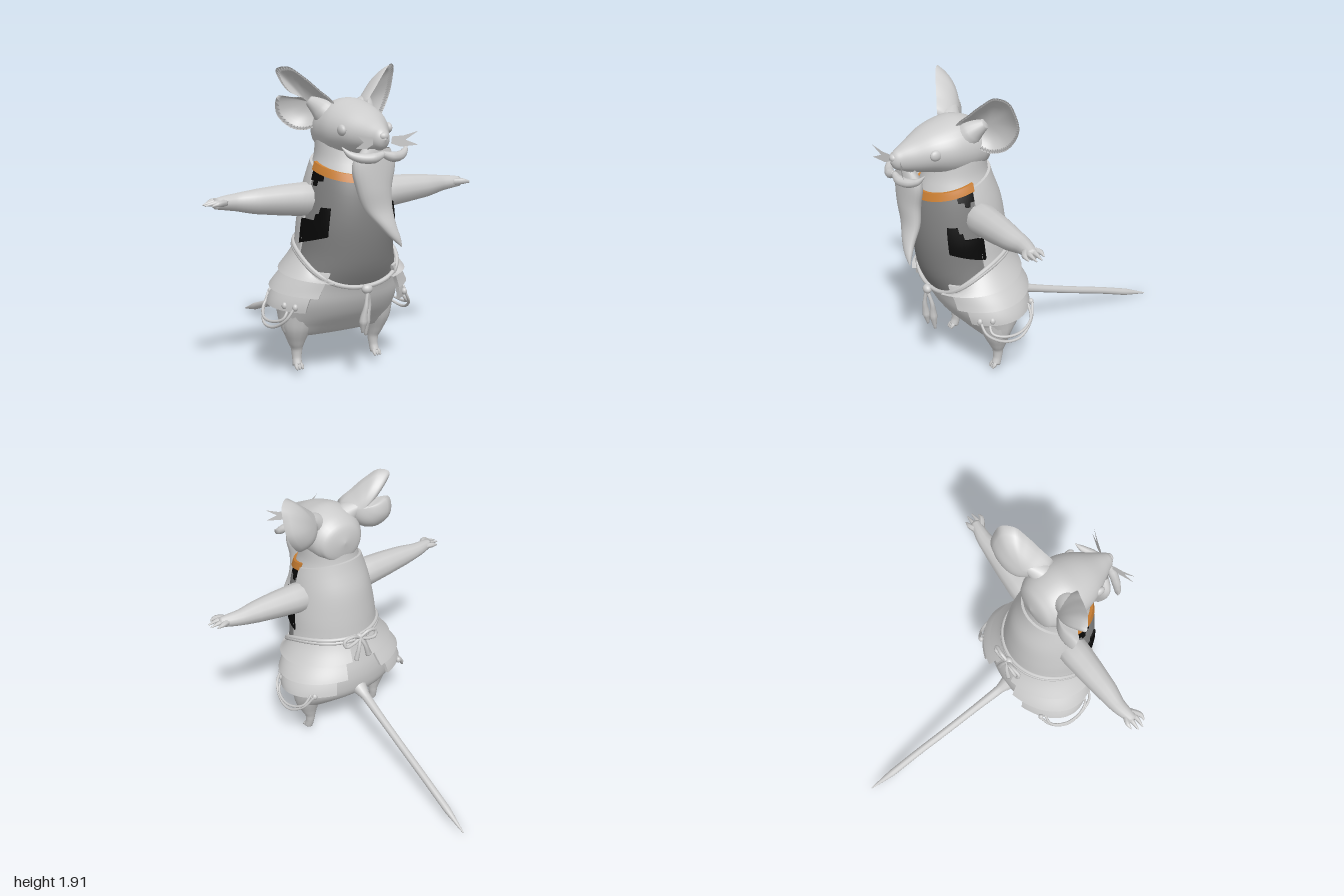
import * as THREE from 'three';
import { mergeVertices, toCreasedNormals } from 'three/addons/utils/BufferGeometryUtils.js';

const paint = (color) => new THREE.MeshStandardMaterial({ color, side: THREE.DoubleSide });
const V = (p) => new THREE.Vector3(...p);
const rad = THREE.MathUtils.degToRad;
const TAU = Math.PI * 2;

// Surface from a rule f(u, v) -> [x, y, z], with u and v running 0..1
function grid(nu, nv, f) {
  const pos = [], idx = [];
  for (let j = 0; j <= nv; j++) for (let i = 0; i <= nu; i++) pos.push(...f(i / nu, j / nv));
  for (let j = 0; j < nv; j++) for (let i = 0; i < nu; i++) {
    const a = j * (nu + 1) + i, b = a + nu + 1;
    idx.push(a, a + 1, b, a + 1, b + 1, b);
  }
  let g = new THREE.BufferGeometry();
  g.setAttribute('position', new THREE.Float32BufferAttribute(pos, 3));
  g.setIndex(idx);
  g = mergeVertices(g, 1e-5);
  g.computeVertexNormals();
  return g;
}

// Smooth lookup in rows whose first number is the (rising) parameter
function table(rows) {
  const n = rows[0].length - 1;
  const it = new THREE.CubicInterpolant(rows.map((r) => r[0]), rows.flatMap((r) => r.slice(1)), n, new Float32Array(n));
  return (t) => Array.from(it.evaluate(t));
}

// Round tube with changing radius and closed ends
function sweep(points, radii, sides = 8, steps = 24) {
  const curve = new THREE.CatmullRomCurve3(points.map(V));
  const rings = [];
  let n = new THREE.Vector3(0.3, 0.5, 0.81);
  for (let k = 0; k <= steps; k++) {
    const t = k / steps, T = curve.getTangent(t);
    n = n.clone().addScaledVector(T, -n.dot(T)).normalize();
    const s = t * (radii.length - 1), a = Math.min(Math.floor(s), radii.length - 2);
    rings.push({ p: curve.getPoint(t), n, b: T.clone().cross(n), r: THREE.MathUtils.lerp(radii[a], radii[a + 1], s - a) });
  }
  rings.unshift({ ...rings[0], r: 0 });
  rings.push({ ...rings[rings.length - 1], r: 0 });
  return grid(sides, rings.length - 1, (u, v) => {
    const { p, n, b, r } = rings[Math.round(v * (rings.length - 1))];
    return p.clone().addScaledVector(n, r * Math.cos(u * TAU)).addScaledVector(b, r * Math.sin(u * TAU)).toArray();
  });
}

// Torso: y, half width, front z, back z
const torsoAt = table([
  [0.25, 0.30, 0.47, 0.40], [0.27, 0.36, 0.52, 0.36], [0.32, 0.385, 0.57, 0.29], [0.4, 0.40, 0.645, 0.205],
  [0.5, 0.41, 0.705, 0.18], [0.6, 0.385, 0.74, 0.185], [0.7, 0.34, 0.785, 0.21], [0.8, 0.305, 0.81, 0.235],
  [1.0, 0.285, 0.83, 0.255], [1.2, 0.25, 0.81, 0.285], [1.3, 0.225, 0.78, 0.32], [1.38, 0.20, 0.75, 0.345],
  [1.5, 0.19, 0.72, 0.36]]);
// Point on the torso at height y and angle a (0 = front), pushed out by off
function onTorso(y, a, off = 0) {
  const [w, f, b] = torsoAt(y);
  return [(w + off) * Math.sin(a), y, (f + b) / 2 + ((f - b) / 2 + off) * Math.cos(a)];
}
// Curved plate lying on the torso, with turned-in edges
function plate(a0, a1, top, bottom, offTop, offBottom) {
  const nu = 32, nv = 14;
  return toCreasedNormals(grid(nu, nv, (u, v) => {
    const i = THREE.MathUtils.clamp((u * nu - 1) / (nu - 2), 0, 1), j = THREE.MathUtils.clamp((v * nv - 1) / (nv - 2), 0, 1);
    const edge = u === 0 || u === 1 || v === 0 || v === 1;
    const a = rad(a0 + (a1 - a0) * i), off = offTop + (offBottom - offTop) * j;
    return onTorso(THREE.MathUtils.lerp(top(a), bottom(a), j), a, edge ? Math.max(off - 0.02, -0.004) : off);
  }), 0.7);
}
const collarY = (a) => 1.27 + 0.065 * (1 - Math.cos(a));
const beltY = (a) => 0.87 - 0.26 * ((1 + Math.cos(a)) / 2) ** 2.2;

export function createModel() {
  const model = new THREE.Group();
  const grey = paint(0xcccccc), dark = paint(0x808080), black = paint(0x080808), orange = paint(0xcc8033);
  const add = (name, geo, mat = grey) => {
    const m = new THREE.Mesh(geo, mat);
    m.name = name;
    model.add(m);
    return m;
  };
  const ball = (name, p, sx, sy, sz) => {
    const m = add(name, new THREE.SphereGeometry(1, 16, 12));
    m.position.set(...p);
    m.scale.set(sx, sy, sz);
  };

  // Torso with rounded underside
  add('torso', grid(40, 51, (u, v) => {
    const p = onTorso(0.25 + 1.25 * Math.max(0, (v * 51 - 1) / 50), u * TAU);
    return v === 0 ? [0, 0.25, 0.435] : p;
  }));

  // Head: z, half width, top, bottom
  const headAt = table([
    [0.34, 0.001, 1.54, 1.53], [0.36, 0.11, 1.62, 1.42], [0.4, 0.165, 1.67, 1.39], [0.47, 0.195, 1.71, 1.37],
    [0.56, 0.205, 1.73, 1.36], [0.65, 0.2, 1.713, 1.38], [0.75, 0.165, 1.68, 1.41], [0.85, 0.105, 1.628, 1.43],
    [0.92, 0.062, 1.59, 1.45], [0.96, 0.035, 1.56, 1.475], [0.98, 0.001, 1.52, 1.518]]);
  add('head', grid(32, 48, (u, v) => {
    const z = 0.34 + 0.64 * (0.5 - 0.5 * Math.cos(v * Math.PI)), [w, t, b] = headAt(z);
    return [w * Math.sin(u * TAU), (t + b) / 2 + (t - b) / 2 * Math.cos(u * TAU), z];
  }));
  ball('nose', [0, 1.535, 0.955], 0.03, 0.025, 0.025);

  // Beard: y, centre x, half width, centre z, half depth
  const beardAt = table([
    [0.88, 0.138, 0.003, 0.955, 0.003], [0.93, 0.105, 0.03, 0.945, 0.02], [1.0, 0.065, 0.055, 0.92, 0.035],
    [1.1, 0.022, 0.092, 0.88, 0.05], [1.22, -0.005, 0.115, 0.87, 0.06], [1.38, -0.005, 0.138, 0.865, 0.06],
    [1.46, 0, 0.09, 0.88, 0.04]]);
  add('beard', grid(20, 24, (u, v) => {
    const y = 0.88 + 0.58 * v, [cx, w, cz, d] = beardAt(y);
    return [cx + w * Math.sin(u * TAU), y, cz + d * Math.cos(u * TAU)];
  }));

  // Chest panel, waistcoat and collar band
  add('chestPanel', plate(-90, 90, collarY, (a) => beltY(a), 0.005, 0.005), dark);
  add('waistcoatBack', plate(88, 272, (a) => collarY(a) - 0.005, (a) => beltY(a) - 0.02, 0.016, 0.016));
  add('collarBand', plate(-90, 90, (a) => collarY(a) + 0.024, (a) => collarY(a) - 0.024, 0.018, 0.018), orange);

  // Belt cord, doubled at the back
  for (const dy of [0, -0.025]) {
    const pts = Array.from({ length: 33 }, (_, i) => {
      const a = i / 32 * TAU;
      return onTorso(beltY(a) + dy * (1 - Math.cos(a)) / 2, a, 0.02);
    });
    add('beltCord', sweep(pts, [0.014, 0.014], 8, 96));
  }
  // Front knot and hanging tassel
  ball('frontKnot', [0.01, 0.6, 0.785], 0.035, 0.03, 0.028);
  for (const [x, z, end] of [[-0.015, 0.79, 0.33], [0.025, 0.76, 0.3]])
    add('frontTassel', sweep([[0.01, 0.6, 0.79], [x + 0.01, 0.5, z + 0.01], [x, 0.42, z], [x, end, z - 0.01]],
      [0.012, 0.012, 0.018, 0.026, 0.008]));
  // Back bow
  ball('backKnot', [0, 0.87, 0.2], 0.03, 0.028, 0.025);

  const outline = [[0.11, 1.685], [0.2, 1.785], [0.28, 1.86], [0.355, 1.915], [0.415, 1.9], [0.435, 1.82], [0.43, 1.72],
    [0.38, 1.62], [0.315, 1.555], [0.24, 1.535], [0.16, 1.585]];
  const tornOutline = [[0.11, 1.685], [0.2, 1.785], [0.28, 1.86], [0.36, 1.915], [0.41, 1.9], [0.385, 1.83], [0.335, 1.765],
    [0.28, 1.735], [0.33, 1.735], [0.385, 1.74], [0.38, 1.63], [0.3, 1.545], [0.23, 1.535], [0.16, 1.585]];

  for (const s of [1, -1]) {
    const mirror = (pts) => pts.map(([x, y, z]) => [x * s, y, z]);
    const side = s > 0 ? 'left' : 'right';
    const tube = (part, pts, radii, sides, steps) => add(side + part, sweep(mirror(pts), radii, sides, steps));

    // Cupped ear with a stalk; the right one is torn
    const rim = new THREE.CatmullRomCurve3((s > 0 ? outline : tornOutline).map(([x, y]) => new THREE.Vector3(x, y, 0)), true);
    add(side + 'Ear', grid(64, 16, (u, v) => {
      const t = v < 0.5 ? v * 2 : 2 - v * 2, p = rim.getPoint(u % 1);
      const x = 0.25 + (p.x - 0.25) * t, y = 1.7 + (p.y - 1.7) * t;
      const cup = 0.085 * (1 - t ** 2.5) + (v > 0.5 ? 0.022 * (1 - t ** 6) : 0);
      return [s * (x - 0.6 * cup), y, 0.62 - 0.8 * (x - 0.1) + 0.3 * (y - 1.74) - 0.8 * cup];
    }));
    tube('EarStalk', [[0.08, 1.58, 0.55], [0.14, 1.655, 0.5], [0.2, 1.71, 0.44]], [0.1, 0.075, 0.03], 16);
    ball(side + 'Eye', [s * 0.157, 1.558, 0.755], 0.022, 0.033, 0.038);

    // Moustache horn and flat whiskers
    tube('Moustache', [[-0.005, 1.435, 0.955], [0.06, 1.415, 0.955], [0.13, 1.415, 0.93], [0.185, 1.435, 0.895], [0.22, 1.475, 0.865]],
      [0.018, 0.03, 0.028, 0.02, 0.003], 10);
    const card = new THREE.Shape([[0.06, 1.49], [0.115, 1.47], [0.21, 1.48], [0.14, 1.51], [0.21, 1.56], [0.13, 1.535], [0.065, 1.53]]
      .map(([x, y]) => new THREE.Vector2(x * s, y)));
    const whiskers = new THREE.ShapeGeometry(card), wp = whiskers.attributes.position;
    for (let i = 0; i < wp.count; i++) wp.setZ(i, 0.92 + 0.36 * Math.abs(wp.getX(i)));
    whiskers.computeVertexNormals();
    add(side + 'Whiskers', whiskers);

    // Arm and fingers
    tube('Arm', [[0.16, 1.12, 0.52], [0.3, 1.13, 0.52], [0.45, 1.137, 0.52], [0.6, 1.142, 0.52], [0.72, 1.148, 0.515], [0.8, 1.152, 0.525], [0.86, 1.153, 0.535]],
      [0.1, 0.102, 0.09, 0.074, 0.053, 0.042, 0.032], 12);
    for (let k = 0; k < 4; k++) {
      const z = 0.487 + k * 0.034, reach = [0.9, 0.93, 0.93, 0.9][k];
      tube('Finger', [[0.8, 1.155, 0.515 + k * 0.01], [0.86, 1.16, z], [reach, 1.15, z]], [0.024, 0.017, 0.004], 6, 8);
    }

    // Leg and toes
    tube('Leg', [[0.27, 0.42, 0.44], [0.285, 0.32, 0.44], [0.285, 0.235, 0.435], [0.28, 0.17, 0.43], [0.282, 0.11, 0.435], [0.285, 0.065, 0.45]],
      [0.13, 0.1, 0.062, 0.036, 0.029, 0.03], 14);
    for (const k of [-1, 0, 1])
      tube('Toe', [[0.285, 0.08, 0.445], [0.285 + k * 0.017, 0.066, 0.47], [0.285 + k * 0.02, 0.048, 0.488]], [0.02, 0.015, 0.006], 6, 6);

    // Dark side openings in the waistcoat
    const step = (a, list) => list.find(([limit]) => Math.abs(a) <= rad(limit) + 1e-6)[1];
    add(side + 'LowerOpening', plate(s * 50, s * 93, (a) => step(a, [[64, 1.1], [70, 1.06], [180, 1.02]]),
      (a) => 0.93 - 0.065 * (Math.abs(a) - rad(50)) / 0.75, 0.016, 0.016), black);
    add(side + 'UpperOpening', plate(s * 65, s * 92, (a) => collarY(a) - 0.02, (a) => step(a, [[74, 1.25], [82, 1.22], [180, 1.25]]), 0.012, 0.012), black);

    // Three overlapping hip plates, widening downward
    const part = (a) => Math.abs(a) / Math.PI;
    add(side + 'HipPlateTop', plate(s * 28, s * 168, (a) => beltY(a) - 0.01, (a) => 0.64 + 0.08 * part(a), 0.012, 0.062));
    add(side + 'HipPlateMiddle', plate(s * 38, s * 162, (a) => 0.7 + 0.05 * part(a), (a) => 0.545 + 0.06 * part(a), 0.02, 0.065));
    add(side + 'HipPlateBottom', plate(s * 46, s * 152, (a) => 0.6 + 0.05 * part(a), (a) => 0.445 + 0.05 * part(a), 0.02, 0.058));

    // Cords hanging from the hip plates
    for (const d of [0, 0.035]) {
      tube('HipCord', [[0.39, 0.5, 0.62 - d * 2], [0.44, 0.42, 0.6 - d], [0.475, 0.355 + d, 0.5], [0.48, 0.35 + d, 0.38], [0.43, 0.41 + d / 2, 0.27], [0.37, 0.5, 0.22 + d]],
        [0.009, 0.009], 8, 32);
      ball(side + 'CordKnob', [s * (0.39 + d), 0.495, 0.62 - d * 2], 0.018, 0.022, 0.018);
    }
    ball(side + 'CordKnobBack', [s * 0.36, 0.5, 0.225], 0.018, 0.022, 0.018);

    // Bow loop and loose end
    tube('BowLoop', [[0, 0.87, 0.19], [0.06, 0.905, 0.18], [0.125, 0.885, 0.19], [0.12, 0.845, 0.18], [0.05, 0.85, 0.18], [0, 0.87, 0.19]], [0.012, 0.012]);
    tube('BowEnd', [[0, 0.87, 0.185], [0.025, 0.81, 0.165], [0.05, 0.72, 0.165]], [0.012, 0.013, 0.018]);
  }

  // Tail
  add('tail', sweep([[0, 0.45, 0.25], [0, 0.4, 0.13], [0.005, 0.325, -0.08], [0.01, 0.245, -0.31], [0.018, 0.15, -0.6], [0.022, 0.07, -0.82], [0.03, 0.008, -1]],
    [0.07, 0.033, 0.027, 0.026, 0.025, 0.025, 0.004], 10, 36));
  return model;
}
